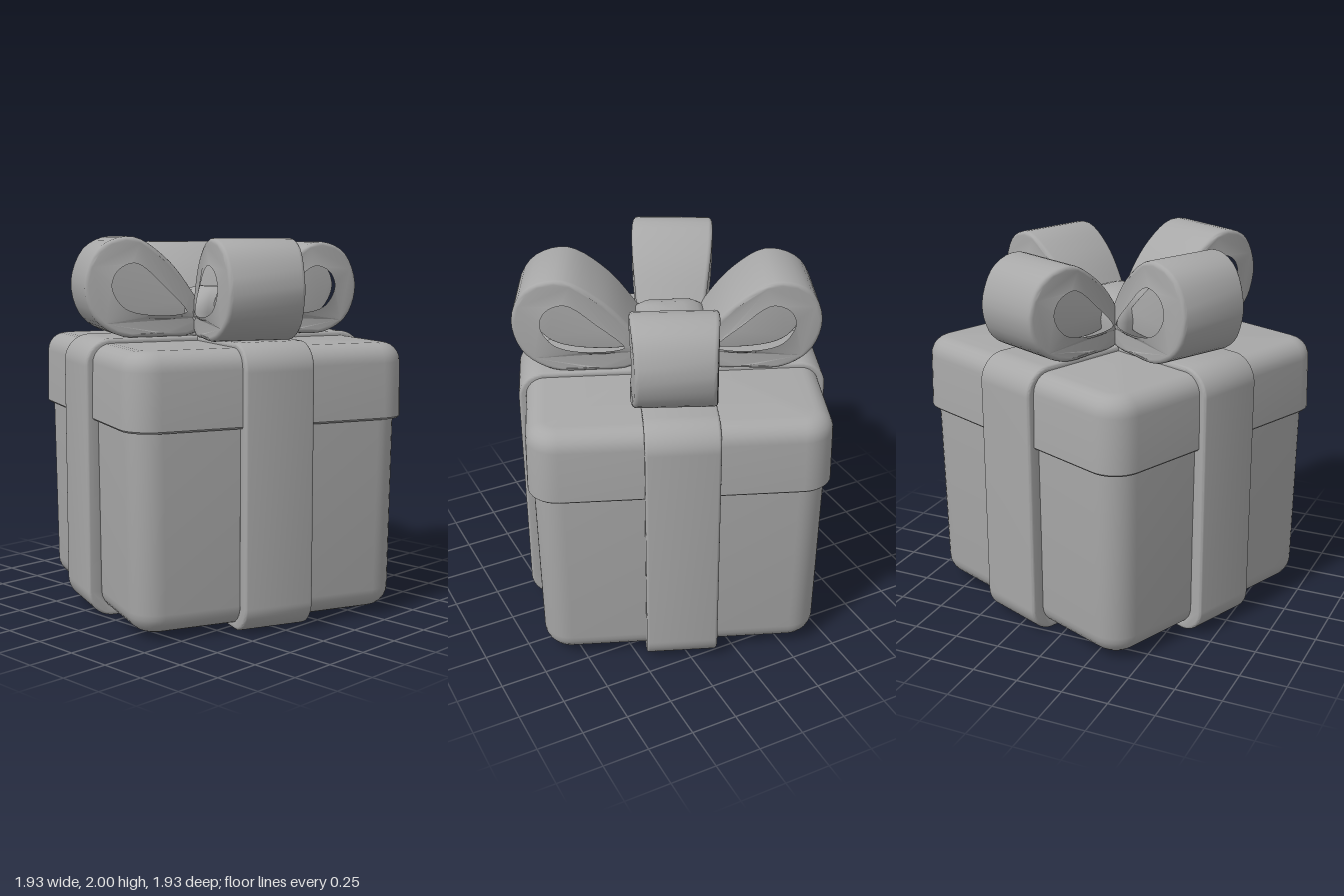
import * as THREE from 'three';
import { toCreasedNormals } from 'three/addons/utils/BufferGeometryUtils.js';

const gray = new THREE.MeshStandardMaterial({ color: 0xa8a8a8 });
gray.name = 'matte gray';

function part(name, geometry, crease = 0.7) {
  const mesh = new THREE.Mesh(toCreasedNormals(geometry, crease), gray);
  mesh.name = name;
  return mesh;
}

function roundedRect(PathType, x0, y0, x1, y1, r) {
  const p = new PathType();
  p.moveTo(x0 + r, y0);
  p.lineTo(x1 - r, y0);
  p.absarc(x1 - r, y0 + r, r, -Math.PI / 2, 0);
  p.lineTo(x1, y1 - r);
  p.absarc(x1 - r, y1 - r, r, 0, Math.PI / 2);
  p.lineTo(x0 + r, y1);
  p.absarc(x0 + r, y1 - r, r, Math.PI / 2, Math.PI);
  p.lineTo(x0, y0 + r);
  p.absarc(x0 + r, y0 + r, r, Math.PI, Math.PI * 1.5);
  return p;
}

// Stack of rounded-square sections, each [y, half width, corner radius], capped at both ends
function loft(sections) {
  const steps = 8, n = 4 * (steps + 1), pos = [], idx = [];
  for (const [y, h, r] of sections) {
    for (let c = 0; c < 4; c++) {
      for (let i = 0; i <= steps; i++) {
        const a = (c + i / steps) * Math.PI / 2, mid = (c + 0.5) * Math.PI / 2;
        pos.push(Math.sign(Math.cos(mid)) * (h - r) + r * Math.cos(a), y,
          Math.sign(Math.sin(mid)) * (h - r) + r * Math.sin(a));
      }
    }
  }
  for (let s = 0; s < sections.length - 1; s++) {
    for (let i = 0; i < n; i++) {
      const a = s * n + i, b = s * n + (i + 1) % n;
      idx.push(a, a + n, b, b, a + n, b + n);
    }
  }
  const last = (sections.length - 1) * n;
  pos.push(0, sections[0][0], 0, 0, sections[sections.length - 1][0], 0);
  const bottom = last + n, top = bottom + 1;
  for (let i = 0; i < n; i++) {
    const j = (i + 1) % n;
    idx.push(bottom, i, j, top, last + j, last + i);
  }
  const g = new THREE.BufferGeometry();
  g.setAttribute('position', new THREE.Float32BufferAttribute(pos, 3));
  g.setIndex(idx);
  return g;
}

// Quarter-round edge sections; dir = 1 rounds a top edge, -1 a bottom edge
function roundEdge(y, half, corner, r, dir) {
  const rings = [];
  for (let i = 0; i <= 6; i++) {
    const a = (i / 6) * Math.PI / 2, inset = r * (1 - Math.cos(a));
    rings.push([y + dir * r * (Math.sin(a) - 1), half - inset, corner - inset]);
  }
  return dir > 0 ? rings : rings.reverse();
}

// Extrusion centred on z with softened edges; offset grows or shrinks the outline
function slab(shape, width, bevel, offset = -bevel) {
  const g = new THREE.ExtrudeGeometry(shape, {
    depth: width - 2 * bevel, curveSegments: 10, bevelThickness: bevel,
    bevelSize: bevel, bevelOffset: offset, bevelSegments: 3,
  });
  return g.translate(0, 0, bevel - width / 2);
}

const curve = (pts) => new THREE.CatmullRomCurve3(
  pts.map(([x, y]) => new THREE.Vector3(x, y, 0)), true)
  .getPoints(44).slice(0, -1).map((p) => new THREE.Vector2(p.x, p.y));

// Narrow a bow loop towards the knot and swell it in the middle
function pinch(g) {
  const p = g.attributes.position;
  for (let i = 0; i < p.count; i++) {
    const t = THREE.MathUtils.clamp((p.getX(i) - 0.1) / 0.65, 0, 1);
    p.setZ(i, p.getZ(i) * (0.84 + 0.16 * t + 0.18 * Math.sin(Math.PI * t)));
  }
  return g;
}

export function createModel() {
  const model = new THREE.Group();
  model.name = 'giftBox';
  const turned = new THREE.Group();
  turned.name = 'turnedBox';
  turned.rotation.y = THREE.MathUtils.degToRad(-22);
  model.add(turned);

  // Box and overhanging lid
  turned.add(part('boxBody', loft([
    ...roundEdge(0.03, 0.738, 0.15, 0.11, -1), [1.1, 0.748, 0.15]])));
  turned.add(part('lid', loft([
    [1.055, 0.768, 0.15], [1.065, 0.778, 0.16], ...roundEdge(1.45, 0.773, 0.16, 0.1, 1)])));

  // Two ribbon bands wrapped right round the box
  for (let i = 0; i < 2; i++) {
    const band = roundedRect(THREE.Shape, -0.812, 0, 0.812, 1.475, 0.14);
    band.holes.push(roundedRect(THREE.Path, -0.735, 0.045, 0.735, 1.43, 0.1));
    const ribbon = part('ribbonBand', slab(band, 0.38, 0.015));
    ribbon.rotation.y = i * Math.PI / 2;
    turned.add(ribbon);
  }

  // Four bow loops, each with a recessed web inside
  const outer = curve([[0.1, 1.54], [0.2, 1.72], [0.34, 1.88], [0.52, 1.985], [0.69, 1.93],
    [0.77, 1.75], [0.72, 1.57], [0.58, 1.48], [0.38, 1.475], [0.2, 1.48]]);
  const inner = curve([[0.2, 1.59], [0.34, 1.75], [0.5, 1.87], [0.61, 1.83],
    [0.65, 1.73], [0.58, 1.61], [0.4, 1.565]]);
  // Each loop: yaw in degrees, length factor, height factor (right, back, left, front in plan)
  const loops = [[-2.4, 0.98, 0.965], [-1, 1.01, 0.965], [-6, 1, 1.025], [-5, 1.06, 1.01]];
  loops.forEach(([yaw, length, height], i) => {
    const loop = new THREE.Group();
    loop.name = 'bowLoop';
    loop.rotation.y = i * Math.PI / 2 + THREE.MathUtils.degToRad(yaw);
    loop.scale.set(length, height, 1);
    loop.position.y = 1.475 * (1 - height);
    const shape = new THREE.Shape(outer);
    shape.holes.push(new THREE.Path(inner));
    loop.add(part('loopRibbon', pinch(slab(shape, 0.4, 0.02))));
    loop.add(part('loopWeb', slab(new THREE.Shape(inner), 0.16, 0.005, 0.025)));
    turned.add(loop);
  });

  // Puffed knot in the middle of the bow
  turned.add(part('knot', loft([[1.46, 0.19, 0.06], [1.6, 0.21, 0.07],
    [1.67, 0.195, 0.07], [1.71, 0.15, 0.06], [1.73, 0.08, 0.04]]), 1.2));

  return model;
}
